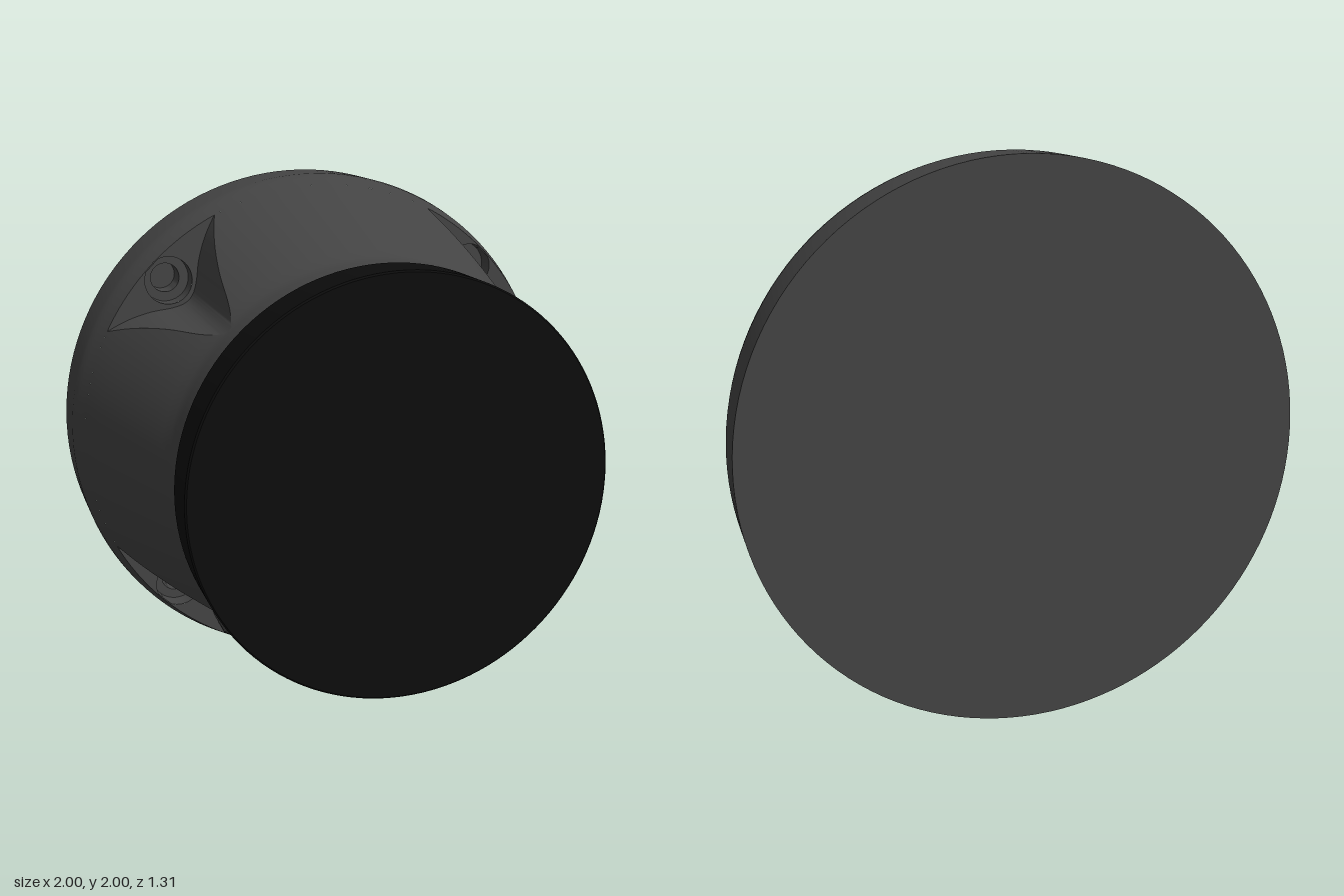
import * as THREE from 'three';
import { toCreasedNormals } from 'three/addons/utils/BufferGeometryUtils.js';

const FLOOR_Z = -0.32, BACK_Z = -0.655, FRONT_Z = 0.47, CAP_Z = 0.655, AXIS_Y = 1;

// Housing profile as [z, radius], front to back
const PROFILE = [[FRONT_Z, 0.765], [0.39, 0.765], [0.36, 0.766], [0.33, 0.771], [0.28, 0.786],
  [-0.36, 0.978], [-0.39, 0.987], [-0.42, 0.996], [-0.45, 1], [BACK_Z, 1]];

// Linear lookup: find column `to` where column `from` has the given value
function lookup(value, from, to) {
  for (let i = 1; i < PROFILE.length; i++) {
    const a = PROFILE[i - 1], b = PROFILE[i];
    const t = (value - a[from]) / (b[from] - a[from]);
    if (b[from] !== a[from] && t >= 0 && t <= 1) return a[to] + t * (b[to] - a[to]);
  }
  return a0(to);
}
const a0 = (column) => PROFILE[0][column];

const FLOOR_R = lookup(FLOOR_Z, 0, 1);

// Half of a pocket's edge as [degrees from its middle, radius], mirrored into a smooth curve
const half = [[18.3, FLOOR_R], [13.7, 0.913], [9.2, 0.855], [5.6, 0.804], [2.6, 0.775]];
const edgePoints = [...half.map(([d, r]) => [-d, r]), [0, 0.766], ...half.map(([d, r]) => [d, r]).reverse()]
  .map(([d, r]) => new THREE.Vector2(THREE.MathUtils.degToRad(d), r));
const POCKET = new THREE.SplineCurve(edgePoints).getPoints(60);
POCKET.forEach((p) => { p.y = Math.min(p.y, FLOOR_R); });

// Front half of the housing: the cone stops at each pocket's edge, then drops straight to the floor
function frontShell() {
  const columns = [];
  for (let k = 0; k < 4; k++) {
    const mid = Math.PI / 4 + k * Math.PI / 2;
    POCKET.forEach((p) => columns.push([mid + p.x, p.y]));
    const start = mid + POCKET[60].x, end = mid + Math.PI / 2 + POCKET[0].x;
    for (let i = 1; i < 20; i++) columns.push([start + (end - start) * i / 20, FLOOR_R]);
  }
  const rows = PROFILE.map((p) => p[0]).filter((z) => z > FLOOR_Z);
  rows.push(0.12, -0.04, -0.2, FLOOR_Z);
  rows.sort((a, b) => b - a);
  const positions = [], index = [], rowCount = rows.length + 1, n = columns.length;
  columns.forEach(([angle, r]) => {
    const stop = r >= FLOOR_R - 1e-6 ? FLOOR_Z : lookup(r, 1, 0);
    const put = (radius, z) => positions.push(radius * Math.cos(angle), radius * Math.sin(angle), z);
    rows.forEach((z) => {
      const zz = Math.max(z, stop);
      put(lookup(zz, 0, 1), zz);
    });
    put(lookup(stop, 0, 1), FLOOR_Z);
  });
  for (let c = 0; c < n; c++) {
    for (let j = 0; j < rowCount - 1; j++) {
      const a = c * rowCount + j, b = ((c + 1) % n) * rowCount + j;
      index.push(a, a + 1, b, b, a + 1, b + 1);
    }
  }
  const geometry = new THREE.BufferGeometry();
  geometry.setAttribute('position', new THREE.Float32BufferAttribute(positions, 3));
  geometry.setIndex(index);
  return toCreasedNormals(geometry, 0.5);
}

// Turned part around the z axis from [radius, z] points
function turned(points, segments) {
  const geometry = new THREE.LatheGeometry(points.map(([r, z]) => new THREE.Vector2(r, z)), segments);
  return toCreasedNormals(geometry.rotateX(Math.PI / 2), 0.5);
}

// Pocket floor along +x with a round hole for the screw
const SCREW_R = 0.876, BORE_R = 0.092;
function pocketFloor() {
  const polar = (angle, r) => new THREE.Vector2(r * Math.cos(angle), r * Math.sin(angle));
  const outline = POCKET.map((p) => polar(p.x, p.y));
  for (let i = 1; i < 24; i++) {
    outline.push(polar(THREE.MathUtils.lerp(POCKET[60].x, POCKET[0].x, i / 24), FLOOR_R));
  }
  const shape = new THREE.Shape(outline);
  shape.holes.push(new THREE.Path().absarc(SCREW_R, 0, BORE_R, 0, Math.PI * 2, true));
  return new THREE.ShapeGeometry(shape, 16).translate(0, 0, FLOOR_Z);
}

export function createModel() {
  const housing = new THREE.MeshStandardMaterial({ color: 0x444444 });
  housing.name = 'dark grey housing';
  const black = new THREE.MeshStandardMaterial({ color: 0x0c0c0c });
  black.name = 'black cap';

  const model = new THREE.Group();
  model.name = 'roundHousing';
  const add = (parent, name, geometry, material) => {
    const mesh = new THREE.Mesh(geometry, material);
    mesh.name = name;
    parent.add(mesh);
    return mesh;
  };

  // Tapered body and its flat-backed base
  add(model, 'taperedBody', frontShell(), housing);
  const base = PROFILE.filter((p) => p[0] < FLOOR_Z).reverse().map(([z, r]) => [r, z]);
  add(model, 'baseRim', turned([[0, BACK_Z], ...base, [FLOOR_R, FLOOR_Z]], 128), housing);

  // Black front cap
  add(model, 'frontCap', turned([[0.74, FRONT_Z], [0.768, FRONT_Z], [0.768, CAP_Z - 0.006],
    [0.762, CAP_Z], [0, CAP_Z]], 128), black);

  // Four screw pockets, each with a stepped screw hole
  const floor = pocketFloor();
  const bore = turned([[BORE_R, FLOOR_Z], [BORE_R, -0.4], [0.056, -0.4], [0.056, -0.5], [0, -0.5]], 40)
    .translate(SCREW_R, 0, 0);
  for (let k = 0; k < 4; k++) {
    const pocket = new THREE.Group();
    pocket.name = 'screwPocket' + (k + 1);
    pocket.rotation.z = Math.PI / 4 + k * Math.PI / 2;
    add(pocket, 'pocketFloor', floor, housing);
    add(pocket, 'screwHole', bore, housing);
    model.add(pocket);
  }

  model.children.forEach((part) => { part.position.y = AXIS_Y; });
  return model;
}
